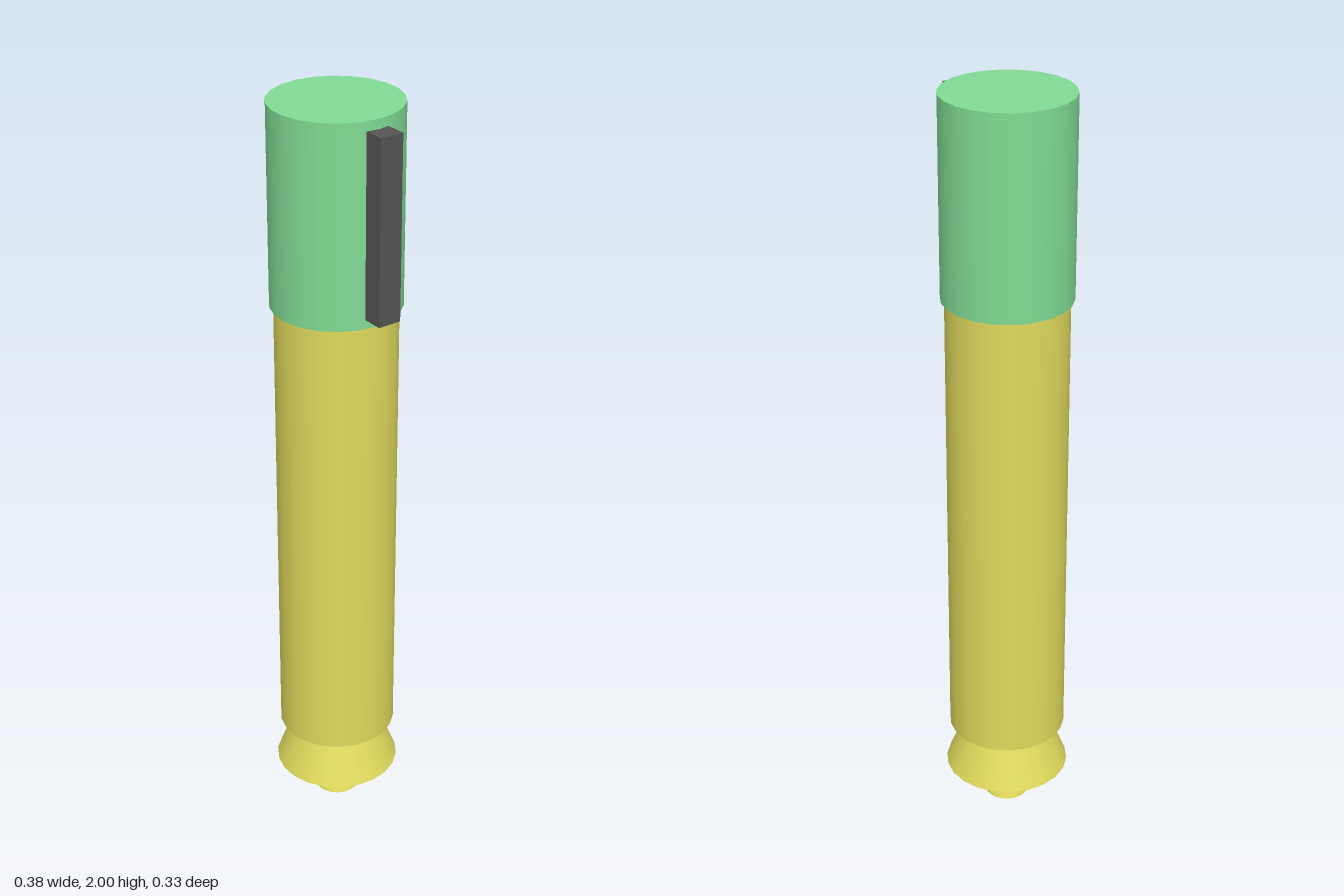
import * as THREE from 'three';

const SIDES = 22;
const AXIS_X = -0.025;

export function createModel() {
  const model = new THREE.Group();
  const green = new THREE.MeshStandardMaterial({ name: 'green', color: 0x80da94 });
  const yellow = new THREE.MeshStandardMaterial({ name: 'yellow', color: 0xe0d95c });
  const darkGrey = new THREE.MeshStandardMaterial({ name: 'dark grey', color: 0x555354 });

  // Round section on the shared axis, with a corner of the polygon facing +x
  function section(name, rTop, rBottom, y0, y1, material) {
    const geometry = new THREE.CylinderGeometry(rTop, rBottom, y1 - y0, SIDES);
    geometry.rotateY(Math.PI / 2);
    const mesh = new THREE.Mesh(geometry, material);
    mesh.name = name;
    mesh.position.set(AXIS_X, (y0 + y1) / 2, 0);
    model.add(mesh);
  }

  section('cap', 0.165, 0.165, 1.485, 2, green);
  section('barrel', 0.155, 0.155, 0.237, 1.485, yellow);
  section('collar', 0.112, 0.165, 0.105, 0.237, yellow);
  section('tip', 0.023, 0.06, 0, 0.105, yellow);

  // Clip bar on the side of the cap
  const clip = new THREE.Mesh(new THREE.BoxGeometry(0.065, 0.467, 0.062), darkGrey);
  clip.name = 'clip';
  clip.position.set(0.1575, 1.742, 0);
  model.add(clip);

  return model;
}
